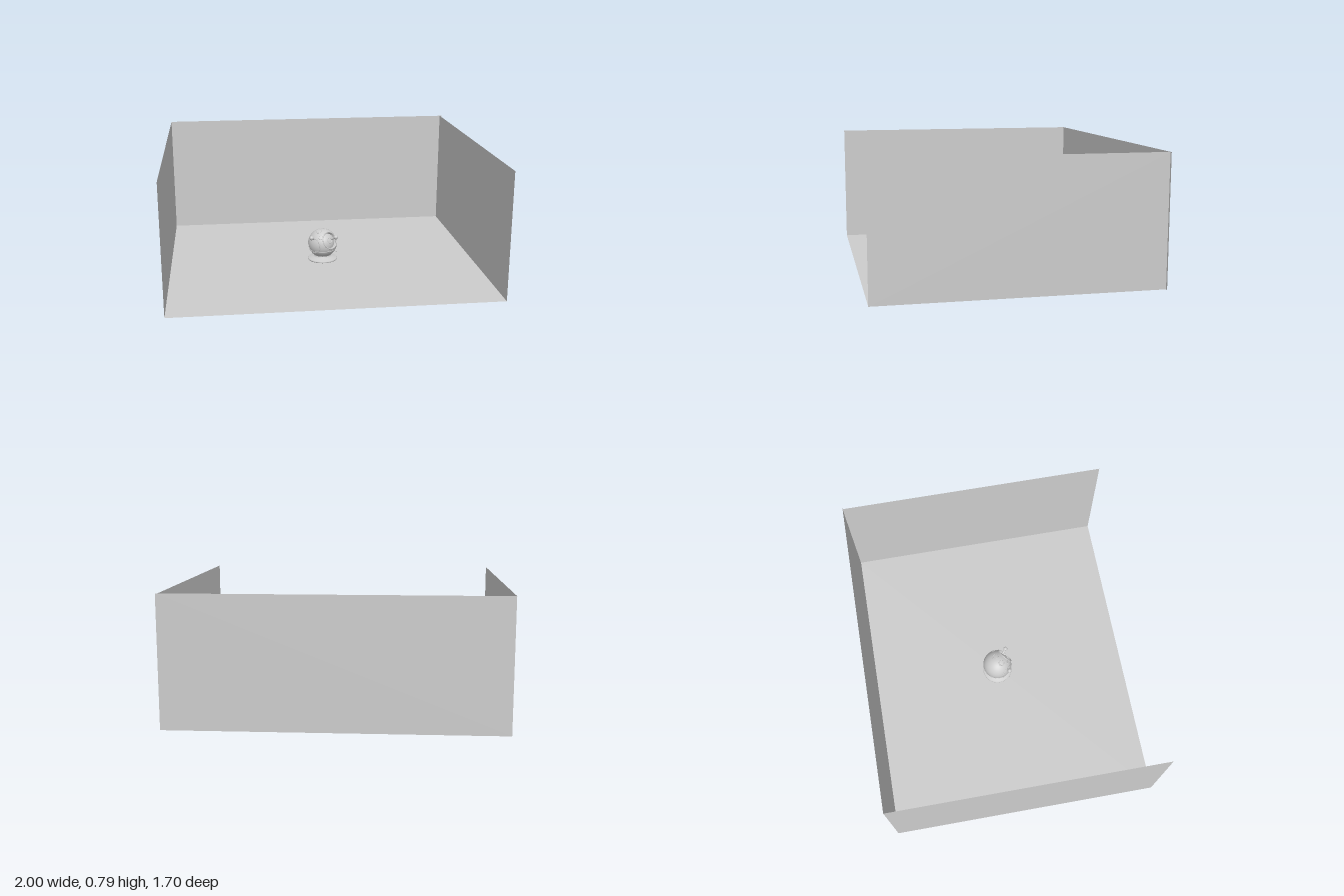
import * as THREE from 'three';

export function createModel() {
  const model = new THREE.Group();
  const grey = new THREE.MeshStandardMaterial({ color: 0xcccccc, side: THREE.DoubleSide });
  grey.name = 'light grey';

  const add = (parent, name, geometry, x = 0, y = 0, z = 0) => {
    const mesh = new THREE.Mesh(geometry, grey);
    mesh.name = name;
    mesh.position.set(x, y, z);
    parent.add(mesh);
    return mesh;
  };
  const lathe = (points, segments = 48) =>
    new THREE.LatheGeometry(points.map(([r, y]) => new THREE.Vector2(r, y)), segments);

  // Room: floor and three thin walls, open at the front and top
  const height = 0.79, depth = 1.695;
  const room = new THREE.Group();
  room.name = 'room';
  model.add(room);
  add(room, 'floor', new THREE.PlaneGeometry(1.985, depth).rotateX(-Math.PI / 2), -0.0075, 0.001, 0);
  add(room, 'backWall', new THREE.PlaneGeometry(2, height), 0, height / 2, -depth / 2);
  const side = new THREE.PlaneGeometry(depth, height).rotateY(Math.PI / 2);
  add(room, 'leftWall', side, 0.985, height / 2, 0);
  add(room, 'rightWall', side, -1, height / 2, 0);

  // Display ball standing on the floor
  const ball = new THREE.Group();
  ball.name = 'displayBall';
  ball.position.set(-0.002, 0, -0.012);
  model.add(ball);

  // Stepped foot with a narrow neck
  add(ball, 'foot', lathe([
    [0, 0], [0.094, 0], [0.098, 0.004], [0.098, 0.009], [0.094, 0.013], [0.078, 0.014],
    [0.074, 0.019], [0.058, 0.02], [0.05, 0.028], [0.05, 0.04],
  ]));

  const radius = 0.096, centre = new THREE.Vector3(0, 0.112, 0);
  const up = new THREE.Vector3(0, 1, 0);

  // Group at the ball's centre whose y axis points in the given direction
  const aim = (name, direction) => {
    const group = new THREE.Group();
    group.name = name;
    group.position.copy(centre);
    group.quaternion.setFromUnitVectors(up, new THREE.Vector3(...direction).normalize());
    ball.add(group);
    return group;
  };

  // Shell with a round opening that reveals a smaller core
  const eye = aim('shellWithOpening', [0.52, 0.42, 0.74]);
  const opening = 0.62, shell = [];
  for (let i = 0; i <= 32; i++) {
    const a = Math.PI + (opening - Math.PI) * i / 32;
    shell.push([Math.max(0, radius * Math.sin(a)), radius * Math.cos(a)]);
  }
  add(eye, 'shell', lathe(shell, 64));
  const rimR = radius * Math.sin(opening), rimY = radius * Math.cos(opening);
  add(eye, 'openingWall', lathe([[rimR, rimY], [rimR - 0.004, rimY - 0.004], [rimR - 0.008, 0.055]]));
  add(eye, 'openingRim', new THREE.TorusGeometry(rimR, 0.004, 8, 48).rotateX(Math.PI / 2), 0, rimY, 0);
  add(eye, 'core', new THREE.SphereGeometry(0.08, 40, 24));
  add(eye, 'coreRing', new THREE.TorusGeometry(0.018, 0.002, 8, 32).rotateX(Math.PI / 2), 0, 0.078, 0);

  // Round ports set into the shell
  const port = (name, direction, r, tube) => {
    const group = aim(name, direction);
    const y = Math.sqrt(radius * radius - r * r);
    add(group, 'portRim', new THREE.TorusGeometry(r, tube, 8, 32).rotateX(Math.PI / 2), 0, y, 0);
    const cap = Math.asin(r / radius);
    add(group, 'portCover', new THREE.SphereGeometry(radius + 0.001, 32, 8, 0, Math.PI * 2, 0, cap * 0.85));
  };
  port('sidePort', [-0.72, 0, 0.66], 0.05, 0.003);
  port('topPortFront', [-0.28, 0.94, 0.26], 0.018, 0.0025);
  port('topPortBack', [0.25, 0.95, -0.1], 0.018, 0.0025);
  port('leftPort', [0.88, 0.35, -0.1], 0.02, 0.0025);
  port('frontPort', [-0.2, 0.62, 0.75], 0.014, 0.002);

  // Seam band around the lower half
  const bandY = 0.075;
  const bandR = Math.sqrt(radius * radius - (centre.y - bandY) ** 2);
  add(ball, 'seam', new THREE.TorusGeometry(bandR, 0.0025, 8, 64).rotateX(Math.PI / 2), 0, bandY, 0);

  // Pair of knobs on short stalks
  for (const s of [-1, 1]) {
    const dir = new THREE.Vector3(s * 0.08, 0.058, 0.07);
    const knob = aim(s > 0 ? 'leftKnob' : 'rightKnob', dir.toArray());
    const reach = dir.length();
    add(knob, 'stalk', new THREE.CylinderGeometry(0.005, 0.007, 0.04, 16), 0, reach - 0.02, 0);
    add(knob, 'knobHead', new THREE.SphereGeometry(0.014, 24, 16), 0, reach, 0);
  }

  // Small peg low on the left
  const peg = aim('peg', [0.82, -0.5, 0.25]);
  add(peg, 'pegPin', new THREE.CylinderGeometry(0.004, 0.004, 0.03, 12), 0, 0.098, 0);

  return model;
}
